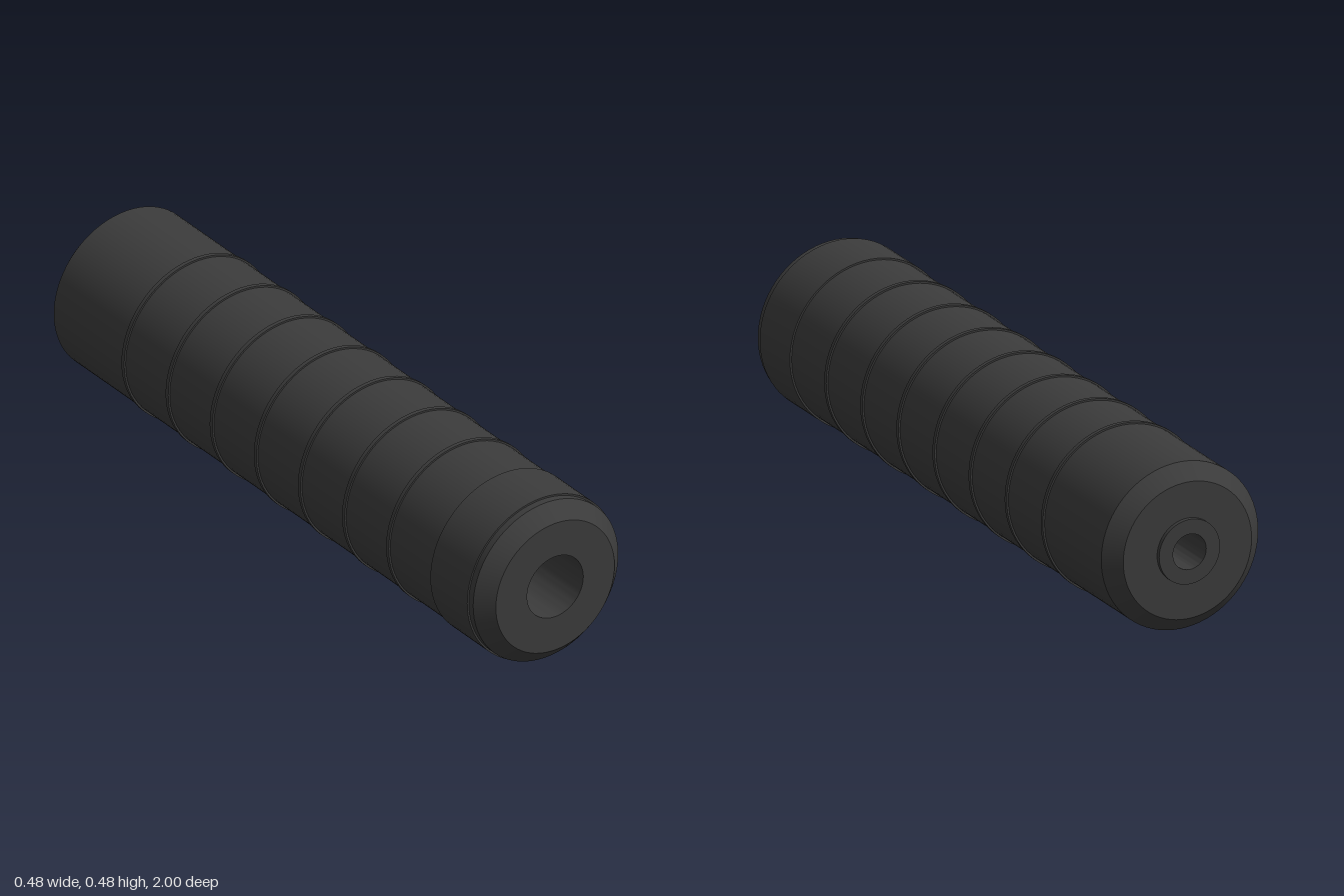
import * as THREE from 'three';
import { toCreasedNormals } from 'three/addons/utils/BufferGeometryUtils.js';

const SEGMENTS = 72;
const AXIS_Y = 0.243;
const BODY_R = 0.236;
const BORE_R = 0.05;
const SOCKET_R = 0.0915;
const FACE_R = 0.193;

export function createModel() {
  const model = new THREE.Group();
  model.name = 'ringedCylinder';
  const darkGrey = new THREE.MeshStandardMaterial({ color: 0x3b3b3b });
  darkGrey.name = 'darkGrey';

  // Turned part along z: closed profile of [radius, z], outside running towards +z
  function turned(name, profile) {
    const points = [...profile, profile[0]].map(([r, z]) => new THREE.Vector2(r, z));
    const lathe = new THREE.LatheGeometry(points, SEGMENTS).rotateX(Math.PI / 2);
    const mesh = new THREE.Mesh(toCreasedNormals(lathe, Math.PI / 7), darkGrey);
    mesh.name = name;
    mesh.position.y = AXIS_Y;
    model.add(mesh);
  }

  // Plain ring lying on the body surface
  const band = (name, radius, z0, z1) =>
    turned(name, [[BODY_R - 0.01, z0], [radius, z0], [radius, z1], [BODY_R - 0.01, z1]]);

  // Main tube: rear boss, chamfered ends, front socket and through bore
  turned('body', [
    [BORE_R, -1], [SOCKET_R, -1], [SOCKET_R, -0.988],
    [FACE_R, -0.988], [BODY_R, -0.945],
    [BODY_R, 0.957], [FACE_R, 1],
    [SOCKET_R, 1], [SOCKET_R, 0.8], [BORE_R, 0.8],
  ]);

  // Front collar
  band('frontCollar', 0.241, 0.77, 0.937);

  // Evenly spaced thin rings
  for (let i = 0; i < 7; i++) {
    const z = 0.575 - i * 0.2;
    band('ring' + (i + 1), 0.241, z - 0.006, z + 0.006);
  }

  return model;
}
